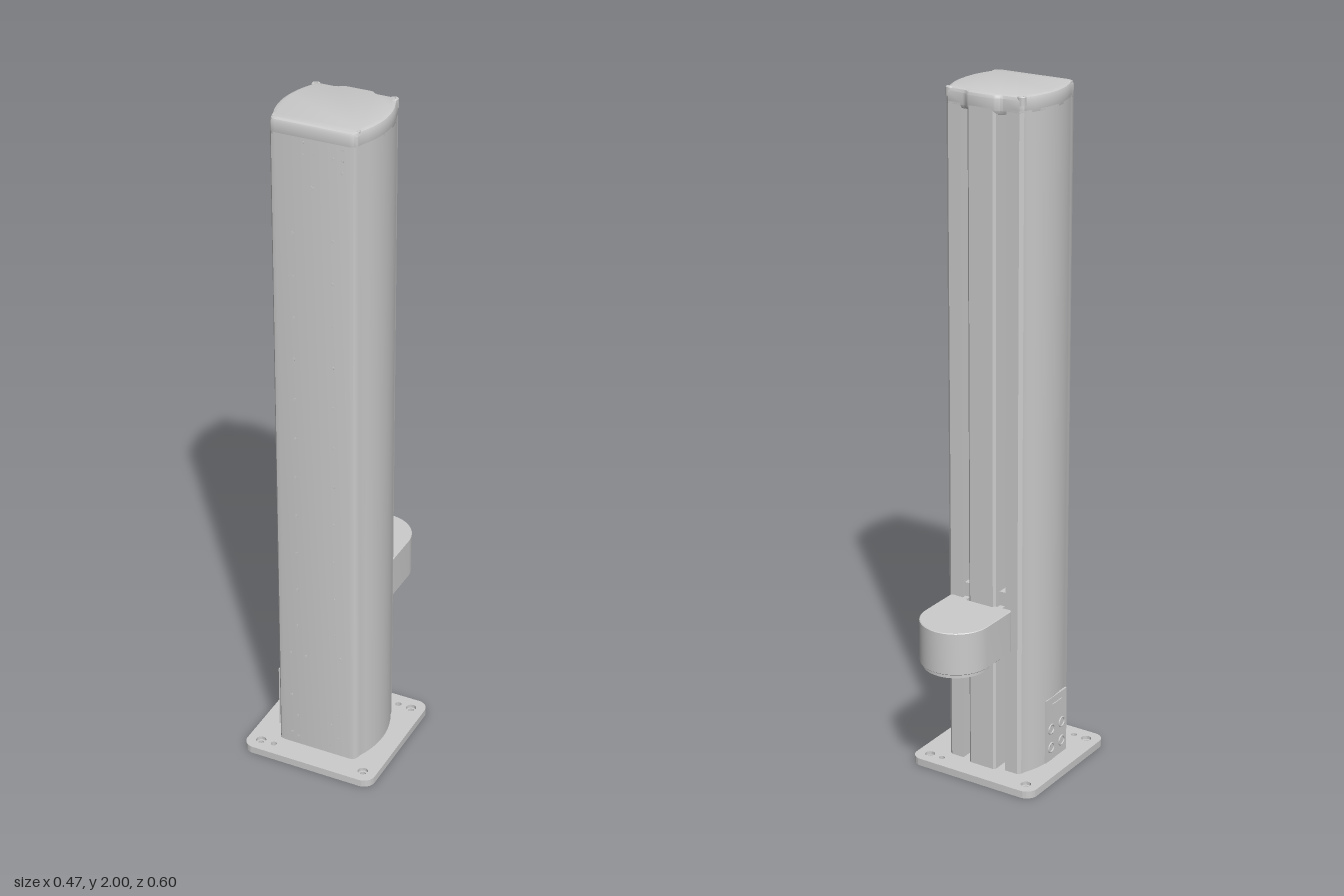
import * as THREE from 'three';
import { toCreasedNormals } from 'three/addons/utils/BufferGeometryUtils.js';

const grey = new THREE.MeshStandardMaterial({ color: 0xcccccc });

function add(parent, name, geometry, x = 0, y = 0, z = 0) {
  const mesh = new THREE.Mesh(geometry, grey);
  mesh.name = name;
  mesh.position.set(x, y, z);
  parent.add(mesh);
  return mesh;
}

// Closed outline from right-half [x, z] points, mirrored across x = 0
function mirrored(half) {
  const all = [...half, ...half.slice().reverse().map(([x, z]) => [-x, z])];
  return new THREE.Shape(all.map(([x, z]) => new THREE.Vector2(x, -z)));
}

// Upright prism of a plan outline between two heights, with optional bevel
function prism(shape, y0, y1, bevel = 0, segments = 1) {
  const g = new THREE.ExtrudeGeometry(shape, {
    depth: y1 - y0 - 2 * bevel, curveSegments: 16, bevelEnabled: bevel > 0,
    bevelSize: bevel, bevelThickness: bevel, bevelOffset: -bevel, bevelSegments: segments,
  });
  g.rotateX(-Math.PI / 2).translate(0, y0 + bevel, 0);
  return toCreasedNormals(g, 0.5);
}

function roundedSquare(h, r) {
  const s = new THREE.Shape();
  s.absarc(h - r, h - r, r, 0, Math.PI / 2);
  s.absarc(r - h, h - r, r, Math.PI / 2, Math.PI);
  s.absarc(r - h, r - h, r, Math.PI, Math.PI * 1.5);
  s.absarc(h - r, r - h, r, Math.PI * 1.5, Math.PI * 2);
  return s;
}

function drill(shape, x, z, r) {
  shape.holes.push(new THREE.Path().absarc(x, -z, r, 0, Math.PI * 2, true));
}

// Front corner, bulging side and back corner of the column
function sideOutline() {
  const pts = [[0.105, 0.132], [0.117, 0.129], [0.124, 0.12]];
  for (let i = 0; i <= 10; i++) {
    const z = 0.105 - i * 0.0215;
    pts.push([0.15 - 2.1 * z * z, z]);
  }
  pts.push([0.122, -0.122], [0.112, -0.13]);
  return pts;
}

export function createModel() {
  const model = new THREE.Group();
  model.name = 'columnLift';
  const body = new THREE.Group();
  body.name = 'turnedAssembly';
  body.position.z = 0.067;
  body.rotation.y = THREE.MathUtils.degToRad(10.75);
  model.add(body);

  // Base plate in two layers, giving counterbored corner holes
  const layers = [['basePlateLower', 0, 0.012, 0.009], ['basePlateUpper', 0.012, 0.022, 0.015]];
  layers.forEach(([name, y0, y1, r], layer) => {
    const s = roundedSquare(0.2075, 0.035);
    for (const x of [-0.166, 0.166]) for (const z of [-0.166, 0.166]) drill(s, x, z, r);
    drill(s, 0.124, -0.166, 0.009);
    drill(s, -0.124, 0.166, 0.009);
    if (layer === 0) {
      for (const x of [-0.1135, 0.1135]) for (const z of [-0.119, 0.106]) drill(s, x, z, 0.009);
      for (const x of [-0.04, 0.04]) for (const z of [-0.05, 0.04]) drill(s, x, z, 0.009);
    }
    add(body, name, prism(s, y0, y1));
  });

  // Column with two slots down the back
  const column = mirrored([...sideOutline(), [0.072, -0.13], [0.072, -0.085],
    [0.045, -0.085], [0.045, -0.137], [0.038, -0.143]]);
  add(body, 'column', prism(column, 0.022, 1.962));

  // Bevelled cap with corner screws
  const cap = mirrored([...sideOutline(), [0.062, -0.13], [0.054, -0.133], [0.046, -0.14], [0.038, -0.143]]);
  add(body, 'cap', prism(cap, 1.945, 2, 0.011, 2));
  const screwProfile = [[0.005, 1.986], [0.005, 1.9995], [0.011, 1.9995], [0.012, 1.998], [0.012, 1.975]]
    .map(([r, y]) => new THREE.Vector2(r, y)).reverse();
  for (const x of [-0.1125, 0.1125]) {
    for (const z of [-0.118, 0.106]) {
      add(body, 'capScrew', toCreasedNormals(new THREE.LatheGeometry(screwProfile, 20), 0.5), x, 0, z);
    }
    add(body, 'capPin', new THREE.CylinderGeometry(0.004, 0.004, 0.004, 10), Math.sign(x) * 0.031, 1.998, 0.101);
  }

  // Small fasteners: two long rows on the front and in the back slots
  const dot = (name, x, y, z, r = 0.004) => {
    const g = new THREE.CylinderGeometry(r, r, 0.003, 10).rotateX(Math.PI / 2);
    add(body, name, g, x, y, z);
  };
  for (let i = 0; i < 11; i++) {
    const y = 0.445 + i * 0.1243;
    for (const x of [-0.058, 0.058]) {
      dot('frontFastener', x, y, 0.1315);
      dot('slotFastener', x, y, -0.0855);
    }
  }
  const extras = [
    [-0.025, 1.95], [-0.025, 1.915], [0.006, 1.92], [0.06, 1.92], [0.087, 1.95], [0.087, 1.92], [0.085, 1.885],
    [-0.08, 0.345], [-0.033, 0.345], [0.077, 0.37], [-0.08, 0.195], [-0.06, 0.125], [0.046, 0.125],
    [0.068, 0.165], [-0.08, 0.06], [-0.06, 0.05], [0.042, 0.05], [0.068, 0.08],
  ];
  extras.forEach(([x, y]) => dot('frontFastener', x, y, 0.1315));
  dot('frontSocket', 0, 1.825, 0.1315, 0.007);

  // Arm with rounded end, hugging the raised spine of the column
  const arm = new THREE.Shape();
  arm.moveTo(0.04, 0.153);
  arm.lineTo(0.05, 0.144);
  arm.lineTo(0.094, 0.142);
  arm.quadraticCurveTo(0.103, 0.142, 0.103, 0.152);
  arm.lineTo(0.103, 0.27);
  arm.absarc(0, 0.27, 0.103, 0, Math.PI);
  arm.lineTo(-0.103, 0.152);
  arm.quadraticCurveTo(-0.103, 0.142, -0.094, 0.142);
  arm.lineTo(-0.05, 0.144);
  arm.lineTo(-0.04, 0.153);
  add(body, 'arm', prism(arm, 0.415, 0.542, 0.002));
  add(body, 'armFoot', new THREE.CylinderGeometry(0.095, 0.095, 0.014, 40), 0, 0.41, -0.27);

  // Carriage tongues riding in the slots
  for (const x of [-0.0585, 0.0585]) {
    add(body, 'carriageTongue', new THREE.BoxGeometry(0.02, 0.2, 0.034), x, 0.48, -0.107);
    add(body, 'carriageNeck', new THREE.BoxGeometry(0.016, 0.12, 0.06), x, 0.478, -0.125);
  }

  // Connector panel low on the side
  const panel = new THREE.Group();
  panel.name = 'connectorPanel';
  panel.position.set(-0.149, 0.125, 0.02);
  panel.rotation.z = 0;
  body.add(panel);
  add(panel, 'panelPlate', new THREE.BoxGeometry(0.006, 0.2, 0.11));
  for (const z of [-0.028, 0.028]) {
    for (const y of [-0.06, 0]) {
      add(panel, 'socketFrame', new THREE.TorusGeometry(0.014, 0.003, 8, 20).rotateY(Math.PI / 2), -0.003, y, z);
    }
  }
  add(panel, 'powerSwitch', new THREE.BoxGeometry(0.008, 0.034, 0.05), -0.002, 0.062, 0);

  return model;
}
